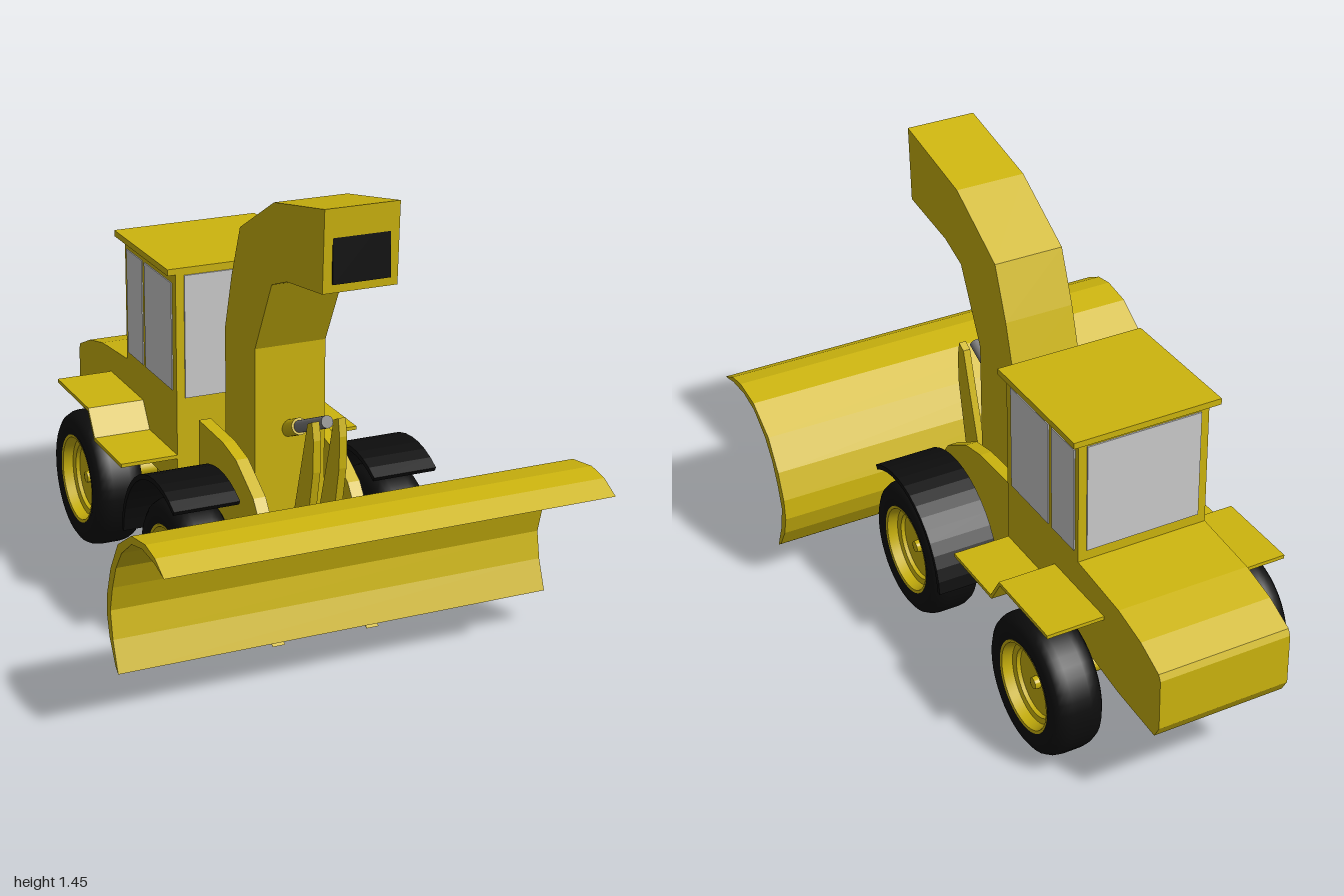
import * as THREE from 'three';
import { toCreasedNormals } from 'three/addons/utils/BufferGeometryUtils.js';

const mat = (color) => new THREE.MeshStandardMaterial({ color });

export function createModel() {
  const model = new THREE.Group();
  const yellow = mat(0xccb40e), black = mat(0x0d0d0d), glass = mat(0xcccccc), steel = mat(0x777777);

  const add = (name, geometry, material, parent = model) => {
    const mesh = new THREE.Mesh(geometry, material);
    mesh.name = name;
    parent.add(mesh);
    return mesh;
  };
  // Side profile of [z, y] points, extruded across x and centred on x = cx
  const slab = (name, points, width, cx = 0, material = yellow) => {
    const shape = new THREE.Shape(points.map(([z, y]) => new THREE.Vector2(z, y)));
    const g = new THREE.ExtrudeGeometry(shape, { depth: width, bevelEnabled: false });
    g.translate(0, 0, -width / 2).rotateY(-Math.PI / 2).translate(cx, 0, 0);
    return add(name, g, material);
  };
  const box = (name, w, h, d, x, y, z, material = yellow) =>
    add(name, new THREE.BoxGeometry(w, h, d).translate(x, y, z), material);
  // Cylinder between two [z, y] points in the centre plane
  const rod = (name, a, b, r, material) => {
    const p = new THREE.Vector3(0, a[1], a[0]), q = new THREE.Vector3(0, b[1], b[0]);
    const m = add(name, new THREE.CylinderGeometry(r, r, p.distanceTo(q), 20), material);
    m.position.copy(p).add(q).multiplyScalar(0.5);
    m.quaternion.setFromUnitVectors(new THREE.Vector3(0, 1, 0), q.sub(p).normalize());
  };

  // Curved plough blade, a crescent in section
  slab('blade', [
    [1, 0.573], [0.935, 0.606], [0.865, 0.617], [0.76, 0.6], [0.65, 0.53], [0.587, 0.43],
    [0.555, 0.34], [0.55, 0.27], [0.568, 0.205], [0.61, 0.135], [0.632, 0.118],
    [0.595, 0.21], [0.578, 0.295], [0.6, 0.375], [0.632, 0.45], [0.68, 0.515],
    [0.76, 0.575], [0.84, 0.594], [0.93, 0.59],
  ], 1.39);

  // Discharge chute with a dark mouth
  slab('chute', [
    [0.745, 1.453], [0.41, 1.385], [0.165, 1.245], [0.1, 1.075], [0.05, 0.9], [0.05, 0.3],
    [0.275, 0.3], [0.275, 0.9], [0.395, 1.135], [0.5, 1.175], [0.735, 1.208],
  ], 0.23);
  const mouth = box('chuteMouth', 0.176, 0.19, 0.008, 0, 0, 0, black);
  mouth.position.set(0, 1.33, 0.739);
  mouth.rotation.x = -0.04;

  // Lift ram running through the chute
  rod('ramRod', [0.535, 0.745], [0.3, 0.643], 0.019, steel);
  rod('ramBarrel', [0.345, 0.663], [-0.11, 0.465], 0.026, yellow);

  // Rear body: cab block and sloping hood in one profile
  slab('body', [
    [-0.095, 0.33], [-0.095, 1.04], [-0.53, 1.04], [-0.53, 0.62], [-0.765, 0.6], [-0.89, 0.57],
    [-0.99, 0.525], [-1, 0.505], [-1, 0.335], [-0.975, 0.293], [-0.77, 0.305], [-0.6, 0.33],
  ], 0.435);
  box('roof', 0.49, 0.02, 0.46, 0, 1.045, -0.322);
  box('windscreen', 0.38, 0.4, 0.008, 0, 0.83, -0.094, glass);
  box('rearWindow', 0.38, 0.36, 0.008, 0, 0.835, -0.531, glass);
  slab('underBody', [[-0.17, 0.34], [-0.17, 0.085], [-0.36, 0.085], [-0.45, 0.2], [-0.45, 0.34]], 0.3);

  // Wheel profiles: [radius, offset along the axle], mirrored for the inner side
  const half = (pts) => pts.map(([r, y]) => new THREE.Vector2(r, y));
  const lathe = (pts) => {
    const top = half(pts), bottom = half(pts.map(([r, y]) => [r, -y])).reverse();
    return new THREE.LatheGeometry([...bottom, ...top], 40).rotateZ(-Math.PI / 2);
  };
  const tyre = lathe([[0.225, 0.03], [0.222, 0.05], [0.212, 0.07], [0.195, 0.081], [0.17, 0.083], [0.142, 0.076]]);
  const rim = toCreasedNormals(lathe([
    [0.15, 0.07], [0.147, 0.078], [0.138, 0.076], [0.128, 0.045], [0.112, 0.04], [0.108, 0.028],
    [0.02, 0.028], [0.018, 0.045], [0.008, 0.048], [0, 0.048],
  ]), 0.5);

  for (const [end, z] of [['front', 0.265], ['rear', -0.53]]) {
    add(end + 'Axle', new THREE.CylinderGeometry(0.03, 0.03, 0.6, 16).rotateZ(Math.PI / 2).translate(0, 0.23, z), yellow);
    for (const side of [-1, 1]) {
      const wheel = new THREE.Group();
      wheel.name = end + 'Wheel';
      wheel.position.set(side * 0.325, 0.2275, z);
      add('tyre', tyre, black, wheel);
      add('rim', rim, yellow, wheel);
      model.add(wheel);
    }
  }

  // Front mudguard: a thin band arching over the wheel
  const arc = (r, from, to) => Array.from({ length: 15 }, (_, i) => {
    const a = from + (to - from) * i / 14;
    return [0.255 + r * Math.cos(a), 0.235 + r * Math.sin(a)];
  });
  const guard = [...arc(0.291, 1.02, 3.08), ...arc(0.275, 3.08, 1.02)];

  for (const side of [-1, 1]) {
    slab('frontMudguard', guard, 0.21, side * 0.325, black);
    slab('rearMudguard', [
      [-0.095, 0.442], [-0.335, 0.442], [-0.39, 0.525], [-0.685, 0.525],
      [-0.685, 0.513], [-0.395, 0.513], [-0.34, 0.43], [-0.095, 0.43],
    ], 0.205, side * 0.303);
    // Side push arm reaching down behind the blade
    slab('pushArm', [
      [-0.02, 0.58], [0.17, 0.575], [0.27, 0.555], [0.4, 0.48], [0.5, 0.35], [0.42, 0.3],
      [0.44, 0.13], [0.545, 0.06], [0.33, 0.12], [0.2, 0.25], [-0.02, 0.31],
    ], 0.04, side * 0.155);
    // Upright lever gripping the ram
    slab('liftLever', [
      [0.545, 0.755], [0.515, 0.74], [0.475, 0.6], [0.41, 0.38], [0.3, 0.32], [0.3, 0.26],
      [0.45, 0.28], [0.51, 0.37], [0.555, 0.6], [0.557, 0.7],
    ], 0.024, side * 0.042);
    // Cab side panes
    box('frontSidePane', 0.008, 0.35, 0.23, side * 0.217, 0.825, -0.24, glass);
    box('rearSidePane', 0.008, 0.35, 0.135, side * 0.217, 0.825, -0.443, glass);
  }
  return model;
}
